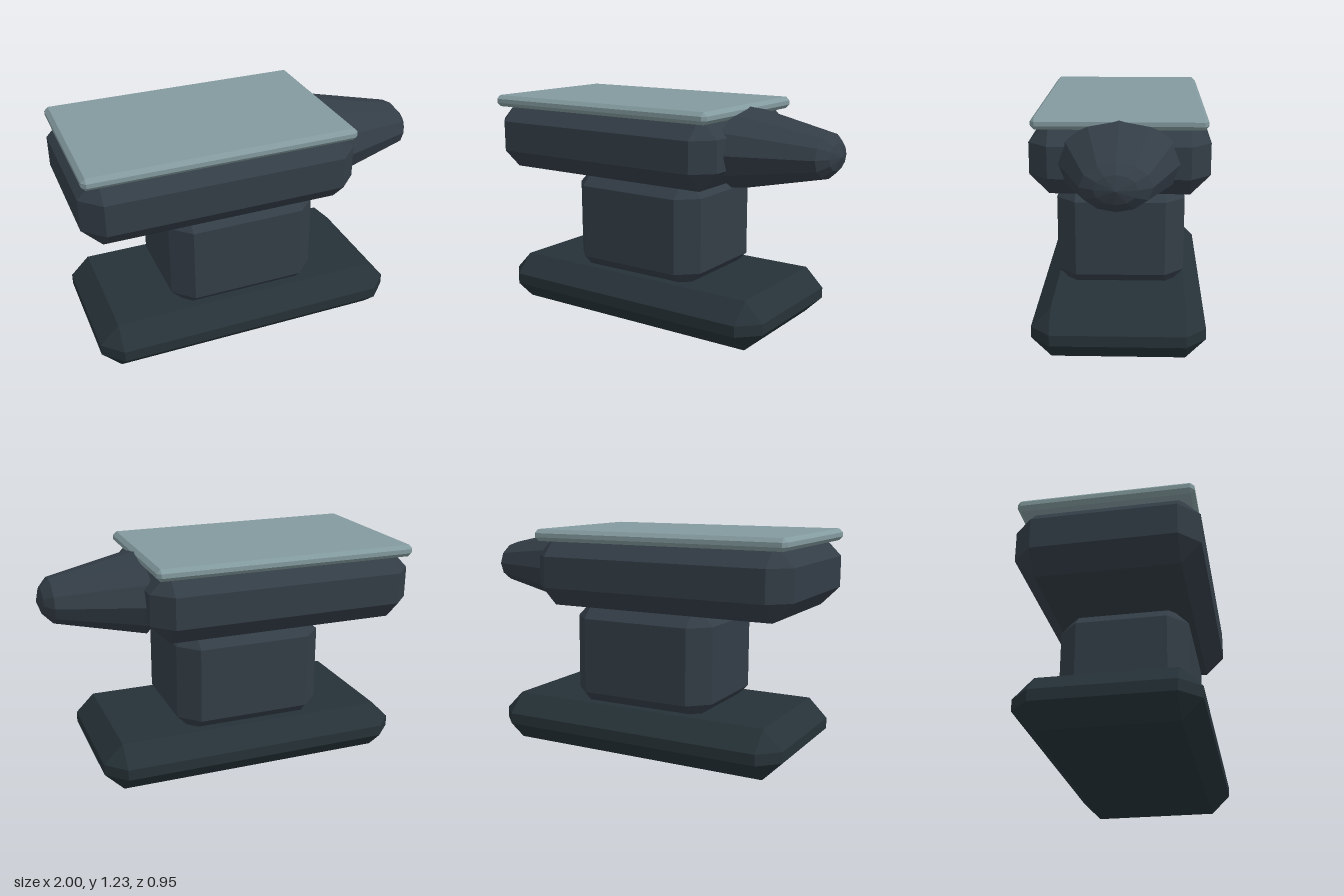
import * as THREE from 'three';
import { ConvexGeometry } from 'three/addons/geometries/ConvexGeometry.js';

const material = (color) => new THREE.MeshStandardMaterial({ color, flatShading: true });

// Box between two corners with every edge cut by a flat chamfer c
function chamferBox(name, [x0, x1], [y0, y1], halfZ, c, mat) {
  const hx = (x1 - x0) / 2, hy = (y1 - y0) / 2, hz = halfZ;
  const points = [];
  for (const sx of [-1, 1]) for (const sy of [-1, 1]) for (const sz of [-1, 1]) {
    points.push(
      new THREE.Vector3(sx * hx, sy * (hy - c), sz * (hz - c)),
      new THREE.Vector3(sx * (hx - c), sy * hy, sz * (hz - c)),
      new THREE.Vector3(sx * (hx - c), sy * (hy - c), sz * hz));
  }
  const mesh = new THREE.Mesh(new ConvexGeometry(points), mat);
  mesh.name = name;
  mesh.position.set((x0 + x1) / 2, (y0 + y1) / 2, 0);
  return mesh;
}

export function createModel() {
  const group = new THREE.Group();
  group.name = 'anvil';
  const baseMat = material(0x263238);
  const iron = material(0x333d46);
  const steel = material(0x839a9e);

  // Foot, waist, body and polished working face
  group.add(
    chamferBox('base', [-0.96, 0.76], [0, 0.27], 0.455, 0.105, baseMat),
    chamferBox('waist', [-0.52, 0.315], [0.22, 0.845], 0.35, 0.105, iron),
    chamferBox('body', [-1, 0.49], [0.81, 1.19], 0.475, 0.105, iron),
    chamferBox('facePlate', [-0.985, 0.47], [1.165, 1.23], 0.455, 0.021, steel));

  // Horn: twelve-sided oval taper with a blunt tip, pointing along +x
  const profile = [[0, 0.45], [1, 0.45], [0.53, 0.93], [0.32, 0.975], [0, 1]]
    .map(([r, x]) => new THREE.Vector2(r, x));
  const hornGeometry = new THREE.LatheGeometry(profile, 12);
  hornGeometry.rotateZ(-Math.PI / 2);
  hornGeometry.scale(1, 0.2225, 0.325);
  hornGeometry.computeVertexNormals();
  const horn = new THREE.Mesh(hornGeometry, iron);
  horn.name = 'horn';
  horn.position.y = 0.997;
  group.add(horn);

  return group;
}
